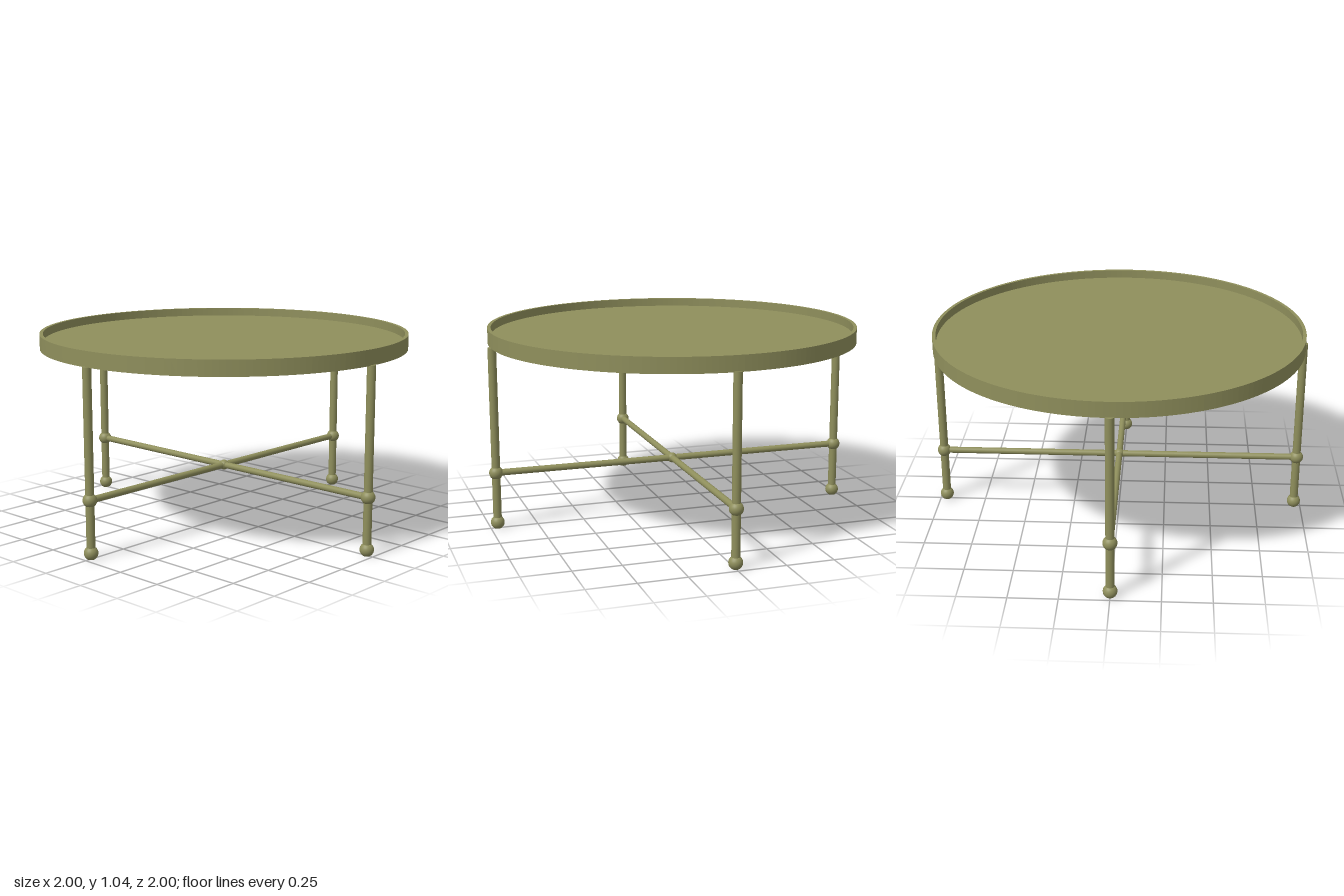
import * as THREE from 'three';

export function createModel() {
  const table = new THREE.Group();
  table.name = 'trayTable';
  const olive = new THREE.MeshStandardMaterial({ color: 0x8f8f5c });
  olive.name = 'olive metal';

  const add = (parent, name, geometry, x = 0, y = 0, z = 0) => {
    const mesh = new THREE.Mesh(geometry, olive);
    mesh.name = name;
    mesh.position.set(x, y, z);
    parent.add(mesh);
    return mesh;
  };

  // Tray: thin upright rim around a recessed round top
  const rimShape = new THREE.Shape().absarc(0, 0, 0.97, 0, Math.PI * 2);
  rimShape.holes.push(new THREE.Path().absarc(0, 0, 0.952, 0, Math.PI * 2, true));
  const rim = new THREE.ExtrudeGeometry(rimShape, { depth: 0.08, bevelEnabled: false, curveSegments: 96 });
  rim.rotateX(-Math.PI / 2);
  add(table, 'trayRim', rim, 0, 0.957, 0);
  add(table, 'trayTop', new THREE.CylinderGeometry(0.955, 0.955, 0.02, 96), 0, 0.983, 0);

  // Foot: a ball with a flattened base
  const footProfile = [new THREE.Vector2(0, 0)];
  for (let i = 0; i <= 12; i++) {
    const a = THREE.MathUtils.lerp(-1.05, Math.PI / 2, i / 12);
    footProfile.push(new THREE.Vector2(Math.max(0, 0.036 * Math.cos(a)), 0.0312 + 0.036 * Math.sin(a)));
  }
  const foot = new THREE.LatheGeometry(footProfile, 28);
  const post = new THREE.CylinderGeometry(0.022, 0.022, 0.93, 24);
  const joint = new THREE.SphereGeometry(0.036, 28, 18);

  // Four legs, each with a foot and a ball joint
  for (let i = 0; i < 4; i++) {
    const leg = new THREE.Group();
    leg.name = 'leg' + (i + 1);
    add(leg, 'legPost', post, 0.964, 0.495, 0);
    add(leg, 'legFoot', foot, 0.964, 0, 0);
    add(leg, 'legJoint', joint, 0.964, 0.3, 0);
    leg.rotation.y = (i * Math.PI) / 2;
    table.add(leg);
  }

  // Crossed stretcher bars and their small hub
  const bar = new THREE.CylinderGeometry(0.017, 0.017, 1.928, 20);
  add(table, 'stretcherAcross', bar, 0, 0.3, 0).rotation.z = Math.PI / 2;
  add(table, 'stretcherDeep', bar, 0, 0.3, 0).rotation.x = Math.PI / 2;
  add(table, 'stretcherHub', new THREE.SphereGeometry(0.027, 28, 18), 0, 0.3, 0);

  return table;
}
